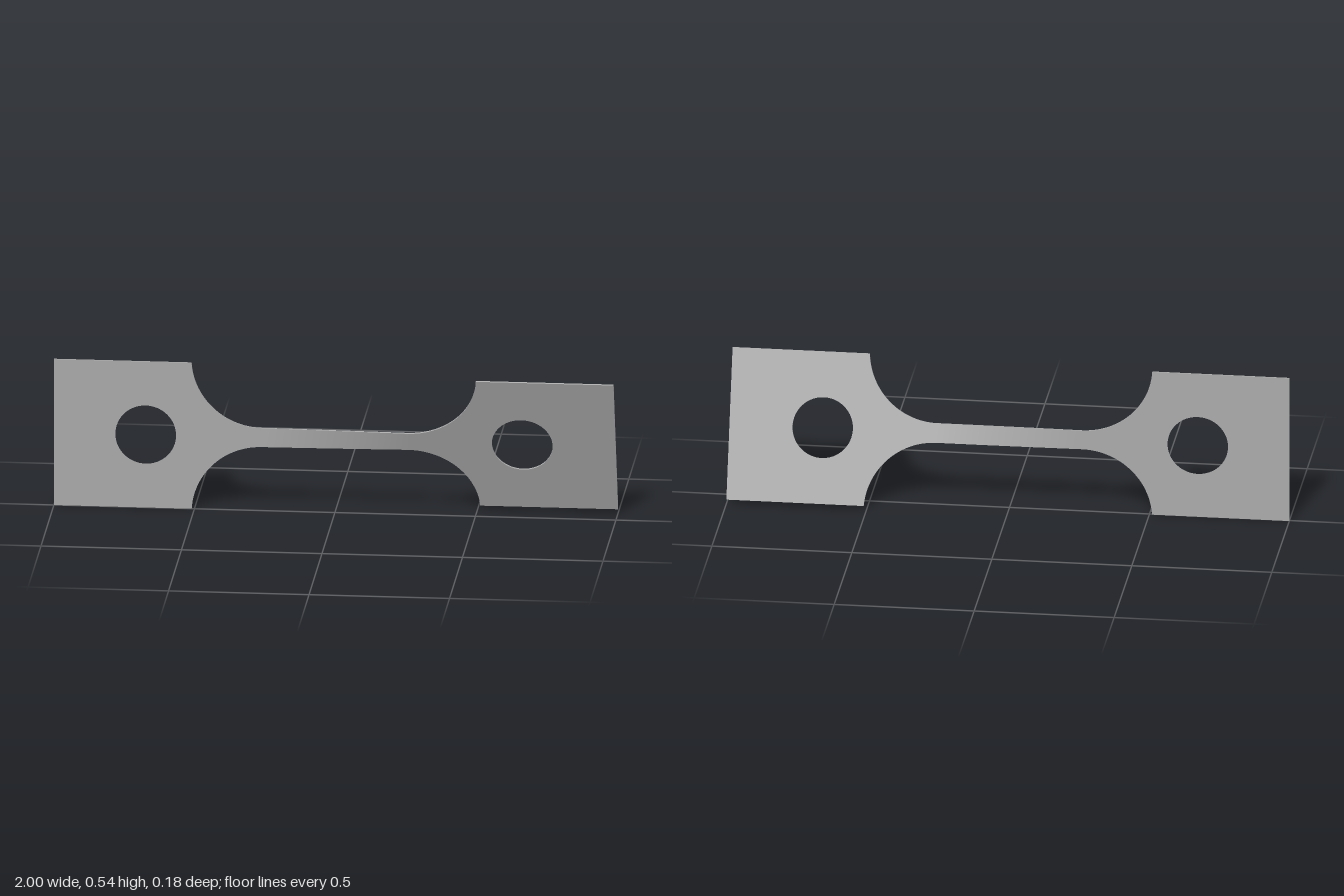
import * as THREE from 'three';

const MID_Y = 0.272, HALF_H = 0.271, NECK = 0.035, THICK = 0.006;
const GAUGE = 0.26, FILLET = 0.25;            // half length of the neck, fillet radius
const TWIST_A = 0.009, TWIST_B = 0.332;       // rotation of the two ends about x

// Flat end plate with a bolt hole and concave fillets, drawn towards side * x
function gripGeometry(side, holeX) {
  const cy = NECK + FILLET;
  const start = Math.asin((HALF_H - cy) / FILLET);
  const upper = [];
  for (let i = 0; i <= 24; i++) {
    const a = start + (-Math.PI / 2 - start) * (i / 24);
    upper.push(new THREE.Vector2(side * (GAUGE + FILLET * Math.cos(a)), cy + FILLET * Math.sin(a)));
  }
  const lower = upper.map(p => new THREE.Vector2(p.x, -p.y)).reverse();
  const shape = new THREE.Shape([
    new THREE.Vector2(side, HALF_H), ...upper, ...lower, new THREE.Vector2(side, -HALF_H),
  ]);
  const hole = new THREE.Path();
  hole.absarc(side * holeX, 0, 0.108, 0, Math.PI * 2, true);
  shape.holes.push(hole);
  const geo = new THREE.ExtrudeGeometry(shape, { depth: THICK, bevelEnabled: false, curveSegments: 32 });
  return geo.translate(0, 0, -THICK / 2);
}

// Narrow strip whose sections turn evenly from one end angle to the other
function neckGeometry() {
  const geo = new THREE.BoxGeometry(GAUGE * 2, NECK * 2, THICK, 48, 4, 1);
  const pos = geo.attributes.position;
  const v = new THREE.Vector3(), axis = new THREE.Vector3(1, 0, 0);
  for (let i = 0; i < pos.count; i++) {
    v.fromBufferAttribute(pos, i);
    const t = (v.x + GAUGE) / (2 * GAUGE);
    v.applyAxisAngle(axis, TWIST_A + (TWIST_B - TWIST_A) * t);
    pos.setXYZ(i, v.x, v.y, v.z);
  }
  geo.computeVertexNormals();
  return geo;
}

export function createModel() {
  const group = new THREE.Group();
  group.name = 'twistedTensileSpecimen';
  const steel = new THREE.MeshStandardMaterial({ color: 0xaaaaaa });
  steel.name = 'grey steel';

  const add = (name, geo, angle) => {
    const mesh = new THREE.Mesh(geo, steel);
    mesh.name = name;
    mesh.position.y = MID_Y;
    mesh.rotation.x = angle;
    group.add(mesh);
  };
  add('rightGrip', gripGeometry(-1, 0.673), TWIST_A);
  add('leftGrip', gripGeometry(1, 0.667), TWIST_B);
  add('twistedNeck', neckGeometry(), 0);
  return group;
}
